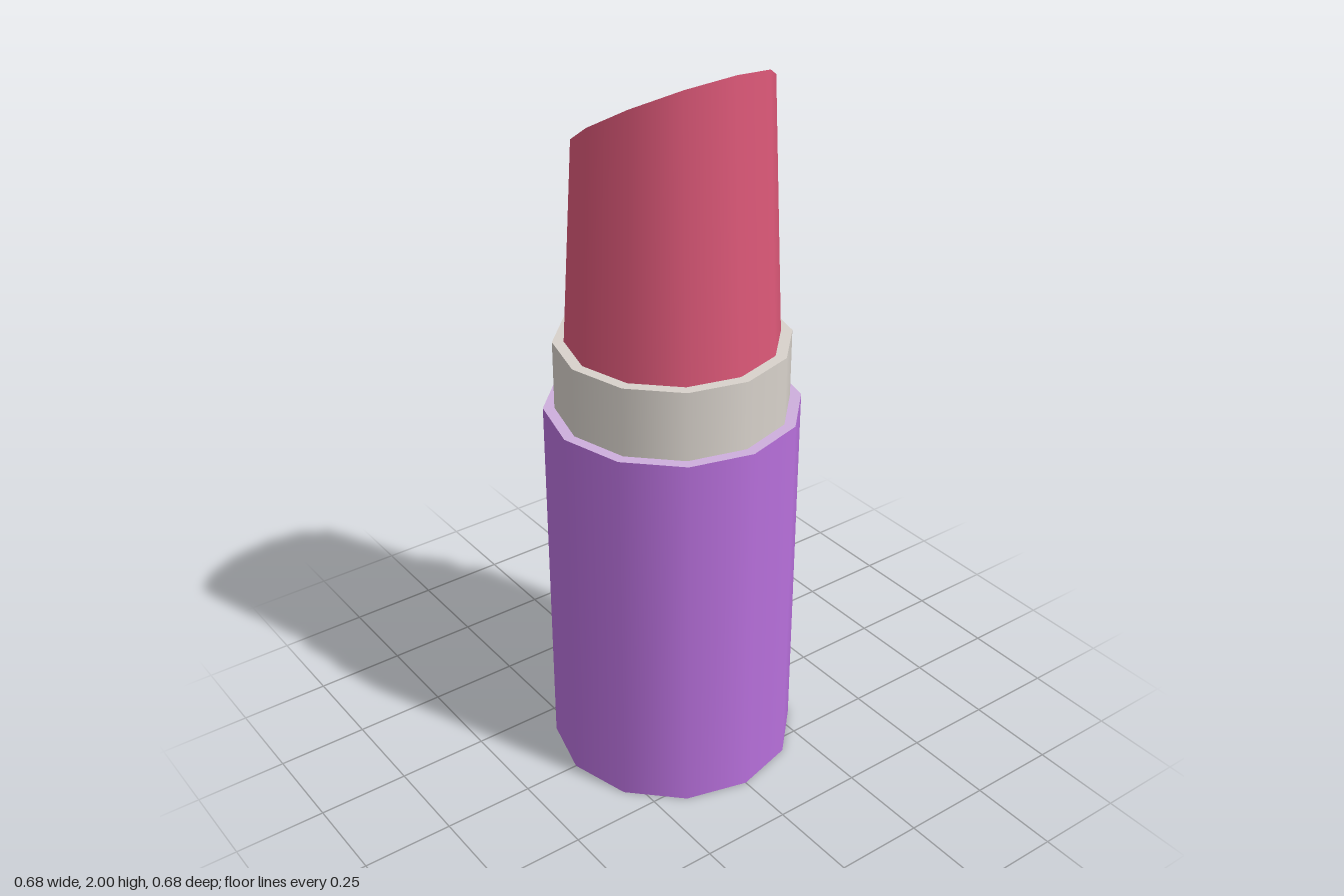
import * as THREE from 'three';

const SIDES = 12;

function flatMaterial(name, color) {
  const m = new THREE.MeshStandardMaterial({ color });
  m.name = name;
  return m;
}

// Twelve-sided cylinder standing between two heights
function drum(name, bottomRadius, topRadius, y0, y1, material) {
  const geometry = new THREE.CylinderGeometry(topRadius, bottomRadius, y1 - y0, SIDES);
  geometry.translate(0, (y0 + y1) / 2, 0);
  const mesh = new THREE.Mesh(geometry, material);
  mesh.name = name;
  return mesh;
}

export function createModel() {
  const purple = flatMaterial('purple', 0xb870dc);
  const lilac = flatMaterial('lilac', 0xcdaedc);
  const silver = flatMaterial('silver', 0xd8d2cb);
  const red = flatMaterial('red', 0xdc5878);

  const model = new THREE.Group();
  model.name = 'lipstick';

  // Case with a paler rim (materials: side, top, bottom), and the collar
  model.add(drum('case', 0.34, 0.34, 0, 1.06, [purple, lilac, purple]));
  model.add(drum('collar', 0.31, 0.31, 1.06, 1.25, silver));

  // Tapered stick, its top cut on a slant rising toward +x
  const stick = drum('stick', 0.28, 0.25, 1.25, 1.86, red);
  const { position, normal } = stick.geometry.attributes;
  const slope = 0.28 / 0.484;
  const cut = new THREE.Vector3(-slope, 1, 0).normalize();
  for (let i = 0; i < position.count; i++) {
    if (position.getY(i) < 1.5) continue;
    const x = position.getX(i) * 0.968;
    position.setXY(i, x, 1.86 + slope * x);
    if (normal.getY(i) > 0.9) normal.setXYZ(i, cut.x, cut.y, cut.z);
  }
  model.add(stick);

  return model;
}
